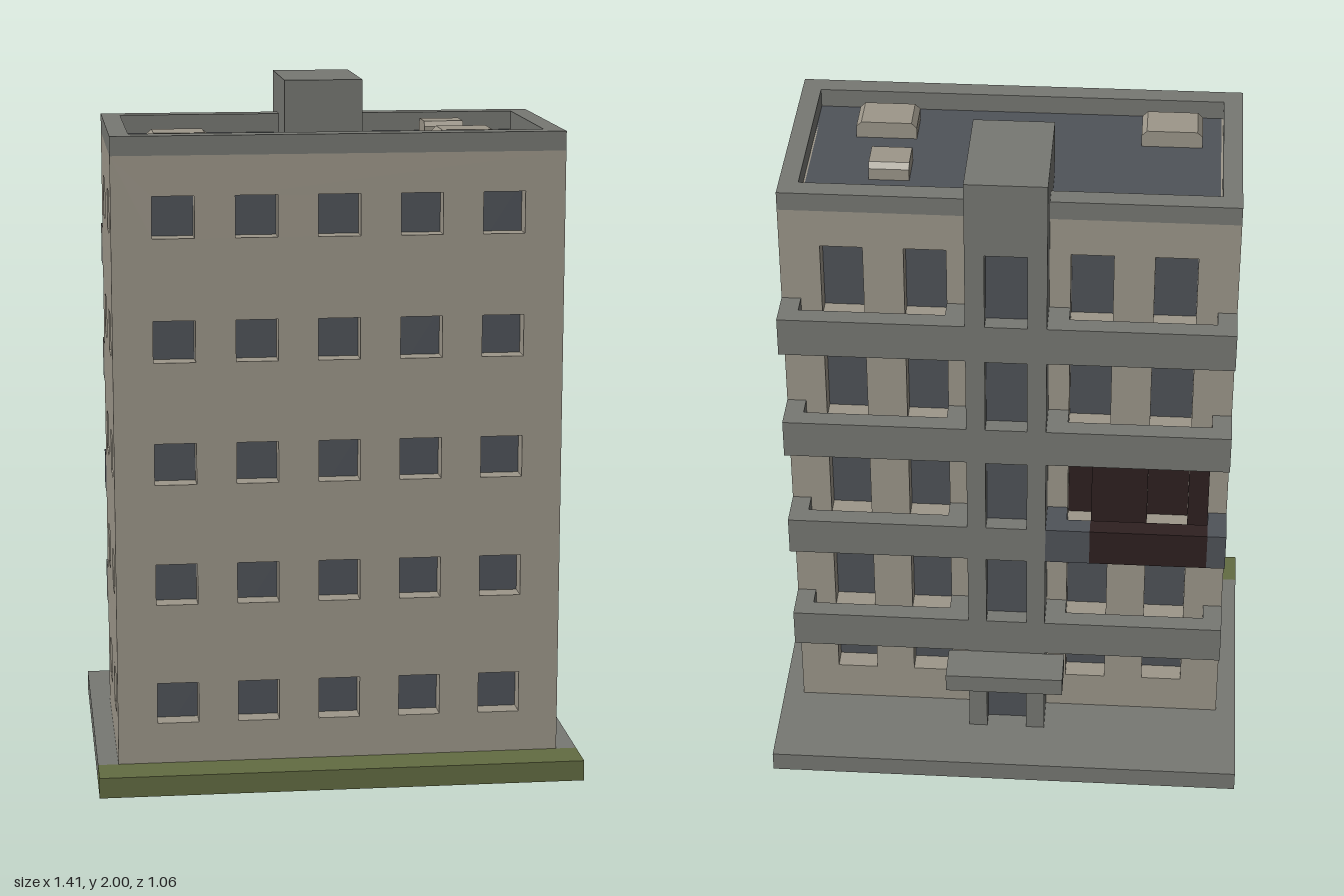
import * as THREE from 'three';

const mat = (name, color) => Object.assign(new THREE.MeshStandardMaterial({ color }), { name });

export function createModel() {
  const plaster = mat('beige plaster', 0x9d978a);
  const concrete = mat('grey concrete', 0x777873);
  const slate = mat('dark slate', 0x4f5359);
  const grass = mat('grass green', 0x636c42);
  const burnt = mat('burnt brown', 0x2e2020);
  const model = new THREE.Group();

  // Box given by its limits on each axis
  const box = (name, m, x0, x1, y0, y1, z0, z1) => {
    const mesh = new THREE.Mesh(new THREE.BoxGeometry(Math.abs(x1 - x0), y1 - y0, z1 - z0), m);
    mesh.position.set((x0 + x1) / 2, (y0 + y1) / 2, (z0 + z1) / 2);
    mesh.name = name;
    model.add(mesh);
    return mesh;
  };

  // Flat panel [u0, u1, v0, v1] with rectangular holes, extruded by depth
  const trace = (path, [a, b, c, d]) =>
    path.moveTo(a, c).lineTo(b, c).lineTo(b, d).lineTo(a, d).closePath();
  const panel = (name, m, rect, holes, depth) => {
    const shape = new THREE.Shape();
    trace(shape, rect);
    for (const h of holes) {
      const hole = new THREE.Path();
      trace(hole, h);
      shape.holes.push(hole);
    }
    const mesh = new THREE.Mesh(new THREE.ExtrudeGeometry(shape, { depth, bevelEnabled: false }), m);
    mesh.name = name;
    model.add(mesh);
    return mesh;
  };
  // Horizontal ring around the core, with its top at height y
  const ring = (name, m, rect, y, depth) => {
    const mesh = panel(name, m, rect, [[-0.59, 0.59, -0.18, 0.35]], depth);
    mesh.rotation.x = Math.PI / 2;
    mesh.position.y = y;
  };

  const PITCH = 0.354;
  const floors = [0, 1, 2, 3, 4];
  const windows = (columns, levels = floors) => levels.flatMap(i => columns.map(c =>
    [c - 0.06, c + 0.06, 0.18 + PITCH * i, 0.3 + PITCH * i]));

  // Plinth, lawn, dark core seen through the openings, roof edge
  ring('plinth', concrete, [-0.705, 0.705, -0.53, 0.41], 0.06, 0.06);
  box('lawn', grass, -0.705, 0.705, 0, 0.06, 0.41, 0.53);
  box('core', slate, -0.59, 0.59, 0, 1.83, -0.18, 0.35);
  ring('roofParapet', concrete, [-0.645, 0.645, -0.24, 0.41], 1.885, 0.055);

  // Outer walls with window openings
  const wallX = [-0.645, 0.645, 0.06, 1.83];
  panel('frontWall', plaster, wallX, windows([-0.47, -0.235, 0, 0.235, 0.47]), 0.06).position.z = 0.35;
  for (const x of [-0.645, 0.585]) {
    const side = panel('sideWall', plaster, [-0.35, 0.18, 0.06, 1.83], windows([-0.24, 0.055]), 0.06);
    side.rotation.y = Math.PI / 2;
    side.position.x = x;
  }

  // Back wall: windows on the ground floor, balcony doors above
  const backColumns = [-0.47, -0.235, 0.235, 0.47];
  const doors = [1, 2, 3, 4].flatMap(i => backColumns.map(c =>
    [c - 0.06, c + 0.06, 0.07 + PITCH * i, 0.3 + PITCH * i]));
  panel('backWall', plaster, wallX, [...windows(backColumns, [0]), ...doors], 0.06).position.z = -0.24;

  // Balconies: solid ends, with a tray of floor and rail between them
  for (const side of [-1, 1]) {
    for (let i = 0; i < 4; i++) {
      const y = 0.36 + PITCH * i;
      const fire = side < 0 && i === 1;
      const part = (name, m, a, b, y0, y1, z1) => box(name, m, side * a, side * b, y0, y1, -0.355, z1);
      const endMat = fire ? slate : concrete;
      for (const [a, b] of [[0.115, 0.175], [0.59, 0.645]])
        part('balconyEnd', endMat, a, b, y, y + 0.117, -0.24);
      for (const [a, b, m] of [[0.175, 0.245, endMat], [0.245, 0.59, fire ? burnt : concrete]]) {
        part('balconyFloor', m, a, b, y, y + 0.06, -0.24);
        part('balconyRail', m, a, b, y + 0.06, y + 0.117, -0.3);
      }
    }
  }

  // Fire damage behind the burnt balcony
  const scorch = [-0.59, -0.245, 0.775, 1.068];
  panel('scorchedWall', burnt, scorch, [[-0.53, -0.41, 0.778, 1.008]], 0.006).position.z = -0.246;
  box('scorchedRoom', burnt, -0.59, -0.17, 0.778, 1.008, -0.187, -0.179);

  // Stair tower with a rooftop housing, tall windows and an entrance
  const openings = [[-0.06, 0.06, 0.06, 0.3]];
  for (let i = 0; i < 4; i++)
    openings.push([-0.06, 0.06, 0.477 + PITCH * i, 0.712 + PITCH * i]);
  panel('stairTowerFront', concrete, [-0.115, 0.115, 0.05, 2], openings, 0.055).position.z = -0.355;
  box('stairTower', concrete, -0.115, 0.115, 0.05, 2, -0.3, 0);
  for (const o of openings) box('stairGlass', slate, ...o, -0.306, -0.299);
  box('entranceCanopy', concrete, -0.175, 0.175, 0.3, 0.357, -0.475, -0.355);

  // Roof units with chamfered long edges
  const unit = (x, z, w, d, turned) => {
    const h = 0.05, c = 0.015, a = w / 2;
    const shape = new THREE.Shape([[-a, 0], [a, 0], [a, h - c], [a - c, h], [c - a, h], [-a, h - c]]
      .map(p => new THREE.Vector2(...p)));
    const geo = new THREE.ExtrudeGeometry(shape, { depth: d, bevelEnabled: false }).translate(0, 0, -d / 2);
    const mesh = new THREE.Mesh(geo, plaster);
    mesh.name = 'roofUnit';
    mesh.position.set(x, 1.83, z);
    if (turned) mesh.rotation.y = Math.PI / 2;
    model.add(mesh);
  };
  unit(-0.443, 0.233, 0.175, 0.115, false);
  unit(0.38, 0.233, 0.175, 0.115, false);
  unit(0.35, -0.003, 0.115, 0.115, true);

  return model;
}
